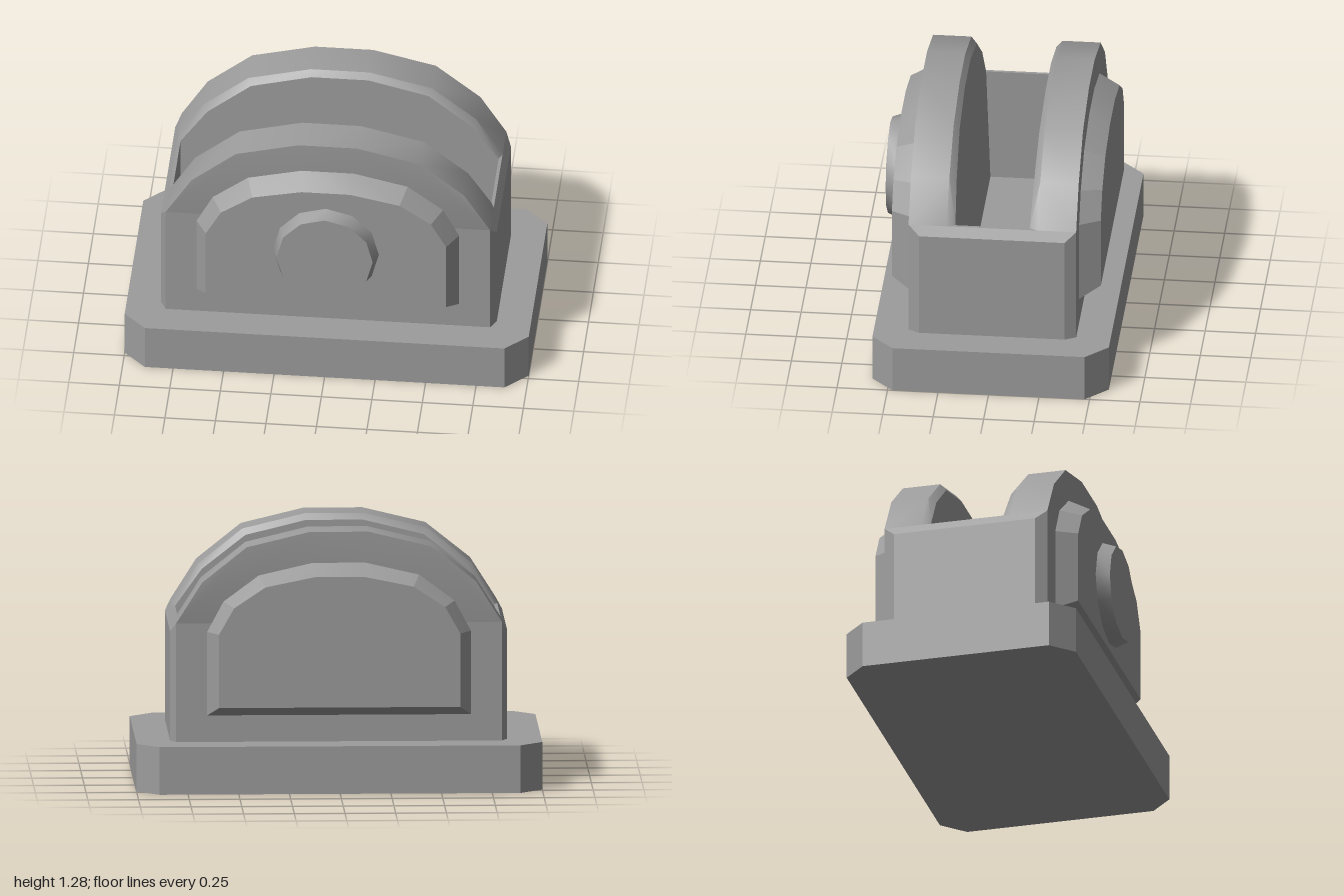
import * as THREE from 'three';
import { ConvexGeometry } from 'three/addons/geometries/ConvexGeometry.js';
import { toCreasedNormals } from 'three/addons/utils/BufferGeometryUtils.js';

const material = new THREE.MeshStandardMaterial({ color: 0x9c9c9c });

function part(name, geometry, crease) {
  const mesh = new THREE.Mesh(toCreasedNormals(geometry, crease), material);
  mesh.name = name;
  return mesh;
}

// Mirrors half a profile [x, y] in x and places it at depth z (number or rule of y)
function profile(half, z) {
  return half.flatMap(([x, y]) => [-1, 1].map((s) =>
    new THREE.Vector3(s * x, y, typeof z === 'function' ? z(y) : z)));
}

// Closed plan loop at height y: two corner points [x, z] mirrored into all quadrants
function ring([a, b], y) {
  return [[1, 1, a, b], [-1, 1, b, a], [-1, -1, a, b], [1, -1, b, a]].flatMap(
    ([sx, sz, ...pair]) => pair.map(([x, z]) => new THREE.Vector3(sx * x, y, sz * z)));
}

// Skins quads between successive loops
function loft(loops) {
  const points = [];
  for (let k = 0; k + 1 < loops.length; k++) {
    const lower = loops[k], upper = loops[k + 1];
    lower.forEach((p, i) => {
      const j = (i + 1) % lower.length;
      points.push(p, upper[i], lower[j], upper[i], upper[j], lower[j]);
    });
  }
  const geometry = new THREE.BufferGeometry().setFromPoints(points);
  geometry.computeVertexNormals();
  return geometry;
}

export function createModel() {
  const model = new THREE.Group();
  model.name = 'clevisBracket';
  const plateTop = 0.237, rim = 0.828;

  // Base plate with cut corners; its top is also the floor of the slot
  const baseCorners = [[1, 0.475], [0.89, 0.585]];
  model.add(part('basePlate',
    new ConvexGeometry([...ring(baseCorners, 0), ...ring(baseCorners, plateTop)]), 0.3));

  // Hollow lower block: chamfered walls, sloped shoulders, thin rim, deep cavity
  const blockCorners = [[0.831, 0.36], [0.803, 0.415]];
  const rimCorner = [0.803, 0.415];
  const holeCorner = [0.787, 0.2];
  model.add(part('lowerBlock', loft([
    ring(blockCorners, plateTop),
    ring(blockCorners, 0.78),
    ring([rimCorner, rimCorner], rim),
    ring([holeCorner, holeCorner], rim),
    ring([holeCorner, holeCorner], plateTop),
  ]), 0.3));

  // Arched cheeks: bevelled inside edge, tapered inner face running down to the plate
  const arch = [[0.803, rim], [0.675, 1.03], [0.455, 1.205], [0.145, 1.28]];
  const innerArch = [[0.787, plateTop], [0.787, rim], [0.655, 1.01], [0.44, 1.177], [0.14, 1.25]];
  const innerZ = (y) => 0.163 + (y - plateTop) * 0.036;

  // Raised pads on the outer faces
  const padOuter = [[0.65, 0.369], [0.65, 0.785], [0.57, 0.935], [0.395, 1.065], [0.13, 1.126]];
  const padInner = [[0.595, 0.42], [0.595, 0.785], [0.52, 0.917], [0.365, 1.02], [0.12, 1.07]];

  for (const [side, s] of [['front', 1], ['back', -1]]) {
    model.add(part(side + 'Cheek', new ConvexGeometry([
      ...profile(arch, s * 0.415),
      ...profile(arch, s * 0.225),
      ...profile(innerArch, (y) => s * innerZ(y)),
    ]), 0.5));
    model.add(part(side + 'Pad', new ConvexGeometry([
      ...profile(padOuter, s * 0.415),
      ...profile(padInner, s * 0.517),
    ]), 0.3));
  }

  // Pin head on the front pad only
  const pin = part('pinHead', new THREE.CylinderGeometry(0.238, 0.262, 0.066, 12), 0.6);
  pin.rotation.x = Math.PI / 2;
  pin.position.set(0, 0.715, 0.55);
  model.add(pin);

  return model;
}
